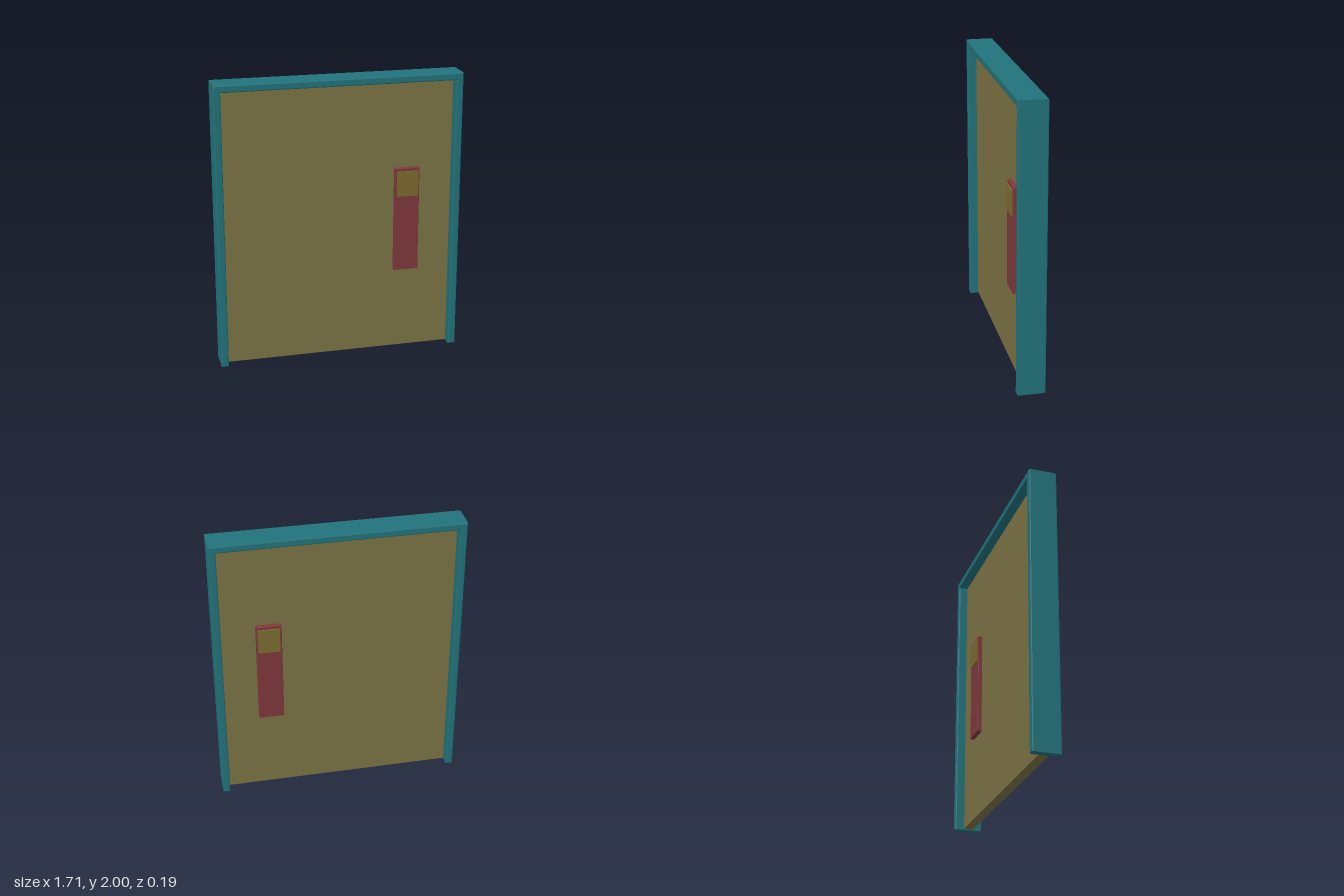
import * as THREE from 'three';
import { RoundedBoxGeometry } from 'three/addons/geometries/RoundedBoxGeometry.js';

export function createModel() {
  const door = new THREE.Group();
  door.name = 'door';
  const material = (color) => new THREE.MeshStandardMaterial({ color });
  const teal = material(0x21737b);
  const olive = material(0x7b7344);
  const red = material(0x7e383c);
  const amber = material(0x7b6c30);

  const add = (parent, name, geometry, mat, x = 0, y = 0, z = 0) => {
    const mesh = new THREE.Mesh(geometry, mat);
    mesh.name = name;
    mesh.position.set(x, y, z);
    parent.add(mesh);
  };

  // Frame: two jambs and a lintel in one piece, with softened edges
  const halfDepth = 0.097, bevel = 0.008;
  const outline = new THREE.Shape([
    [-0.853, 0], [-0.803, 0], [-0.803, 1.95], [0.803, 1.95],
    [0.803, 0], [0.853, 0], [0.853, 2], [-0.853, 2],
  ].map(([x, y]) => new THREE.Vector2(x, y)));
  const frame = new THREE.ExtrudeGeometry(outline, {
    depth: 2 * (halfDepth - bevel), bevelEnabled: true, bevelThickness: bevel,
    bevelSize: bevel, bevelOffset: -bevel, bevelSegments: 2,
  });
  frame.translate(0, 0, -(halfDepth - bevel));
  add(door, 'frame', frame, teal);

  // Door leaf, set back from both faces of the frame
  const leafFace = 0.034;
  add(door, 'leaf', new RoundedBoxGeometry(1.604, 1.945, 2 * leafFace, 2, 0.004), olive, 0, 0.978, 0);

  // Handle plate with a raised square pad, on both faces
  for (const [side, s] of [['front', 1], ['back', -1]]) {
    const handle = new THREE.Group();
    handle.name = side + 'Handle';
    add(handle, side + 'Plate', new RoundedBoxGeometry(0.175, 0.745, 0.034, 2, 0.003), red,
      0.478, 0.973, s * (leafFace + 0.013));
    add(handle, side + 'Pad', new THREE.BoxGeometry(0.15, 0.178, 0.02), amber,
      0.48, 1.235, s * (leafFace + 0.03));
    door.add(handle);
  }
  return door;
}
